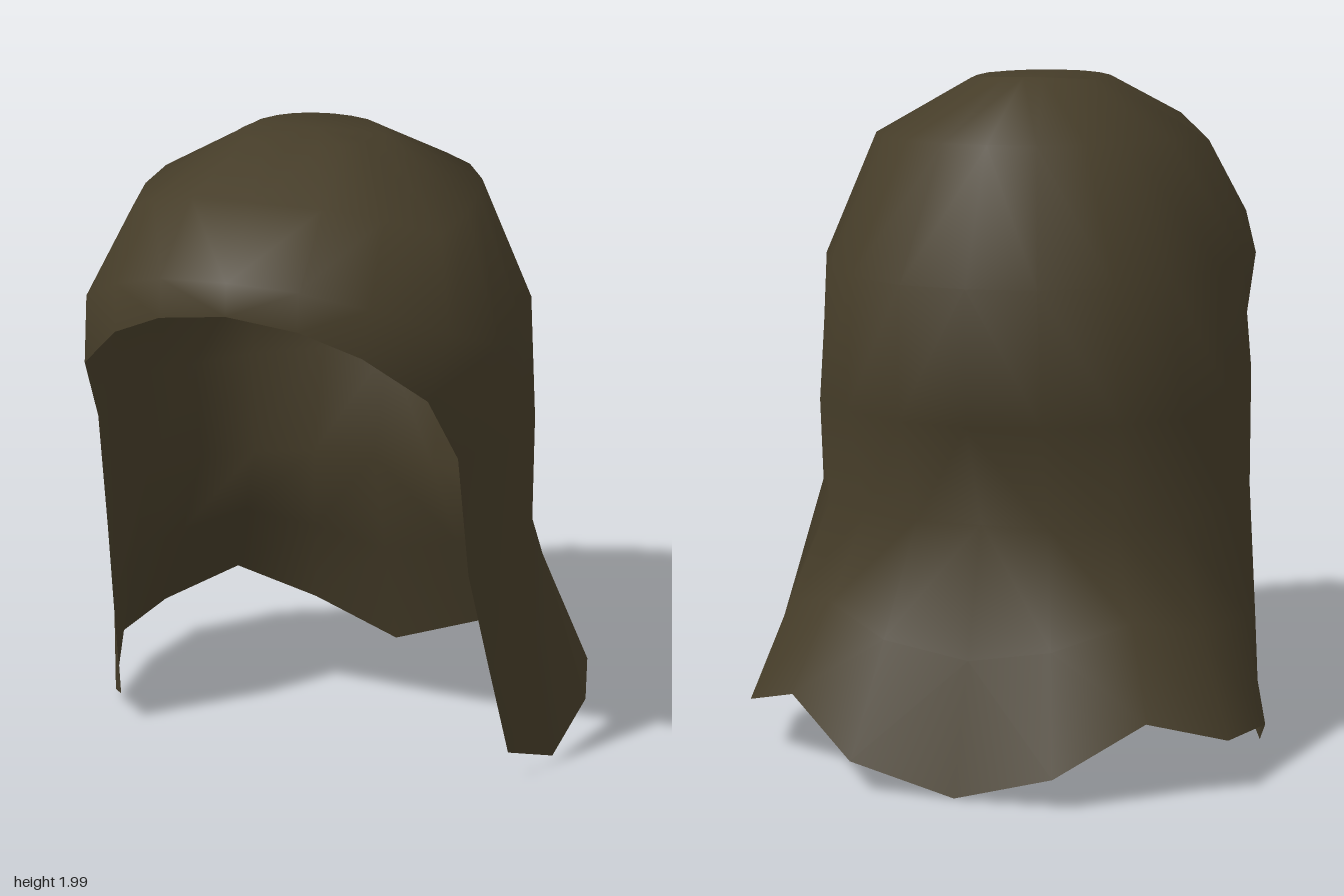
import * as THREE from 'three';

// Half cross-sections of the hood: back centre -> left side -> front centre.
// Each ring is a list of [x, y, z]; the lower rings stop at the face opening.
const crown = [[0, 1.83, -.45], [.14, 1.83, -.43], [.27, 1.83, -.37], [.37, 1.83, -.27], [.45, 1.83, -.12],
  [.48, 1.83, .03], [.49, 1.81, .17], [.46, 1.79, .34], [.34, 1.86, .48], [.19, 1.9, .57], [0, 1.91, .6]];
const brow = [[0, 1.45, -.68], [.2, 1.45, -.65], [.39, 1.45, -.53], [.52, 1.45, -.38], [.6, 1.47, -.17],
  [.625, 1.48, .06], [.62, 1.46, .27], [.54, 1.56, .5], [.37, 1.67, .69], [.2, 1.73, .78], [0, 1.745, .805]];
const temple = [[0, 1.06, -.68], [.21, 1.06, -.65], [.41, 1.06, -.53], [.55, 1.06, -.38], [.63, 1.1, -.15],
  [.64, 1.13, .12], [.55, 1.16, .41], [.51, 1.39, .59], [.36, 1.54, .72], [.2, 1.62, .79], [0, 1.65, .81]];
const nape = [[0, .75, -.54], [.2, .75, -.53], [.38, .75, -.46], [.53, .75, -.36], [.63, .77, -.15],
  [.645, .78, .1], [.565, .77, .33]];
const hem = [[0, .005, -.77], [.3, .1, -.81], [.53, .24, -.67], [.73, .16, -.5], [.785, .14, -.25],
  [.73, .03, -.05], [.635, .11, .125]];

const pole = [0, 1.99, .06];
const mix = (a, b, t) => a.map((v, i) => v + (b[i] - v) * t);

// Small flat ring around the crown centre
const top = crown.map((p, i) => [p[0] * .42, 1.985 + .013 * Math.abs(Math.cos(i * Math.PI / 10)),
  pole[2] + (p[2] - pole[2]) * (i < 5 ? .28 : .44)]);
// Neck curtain between nape and hem
const curtain = nape.map((p, i) => mix(p, hem[i], .5));

function hoodGeometry() {
  const rings = [top, crown, brow, temple, nape, curtain, hem];
  const positions = [], index = [], ids = [];
  const add = ([x, y, z]) => {
    // the whole shell leans very slightly to one side at mid height
    positions.push(x - .012 * Math.sin(Math.PI * y / 2), y, z);
    return positions.length / 3 - 1;
  };
  const centre = add(pole);

  // Mirror each half ring into a full one, keyed by signed column number
  for (const ring of rings) {
    const row = new Map(), last = ring.length - 1;
    for (let k = -last; k <= last; k++) {
      if (k === -10) continue;
      const p = ring[Math.abs(k)];
      row.set(k, add([Math.sign(k) * p[0], p[1], p[2]]));
    }
    if (last === 10) row.set(-10, row.get(10));
    ids.push(row);
  }

  // Crown fan
  for (let k = -10; k < 10; k++) index.push(centre, ids[0].get(k + 1), ids[0].get(k));
  // Closed dome above, open curtain below
  for (let r = 0; r < ids.length - 1; r++) {
    const n = Math.min(rings[r].length, rings[r + 1].length) - 1;
    for (let k = -n; k < n; k++) {
      const a = ids[r].get(k), b = ids[r].get(k + 1);
      const c = ids[r + 1].get(k), d = ids[r + 1].get(k + 1);
      // mirror the diagonal so both sides match
      if (k < 0) index.push(a, b, c, b, d, c);
      else index.push(a, b, d, a, d, c);
    }
  }
  const g = new THREE.BufferGeometry();
  g.setAttribute('position', new THREE.Float32BufferAttribute(positions, 3));
  g.setIndex(index);
  g.computeVertexNormals();
  return g;
}

export function createModel() {
  const group = new THREE.Group();
  group.name = 'hood';
  const cloth = new THREE.MeshStandardMaterial({ color: 0x463d29, side: THREE.DoubleSide });
  cloth.name = 'dark olive brown cloth';
  const shell = new THREE.Mesh(hoodGeometry(), cloth);
  shell.name = 'hoodShell';
  group.add(shell);
  return group;
}
